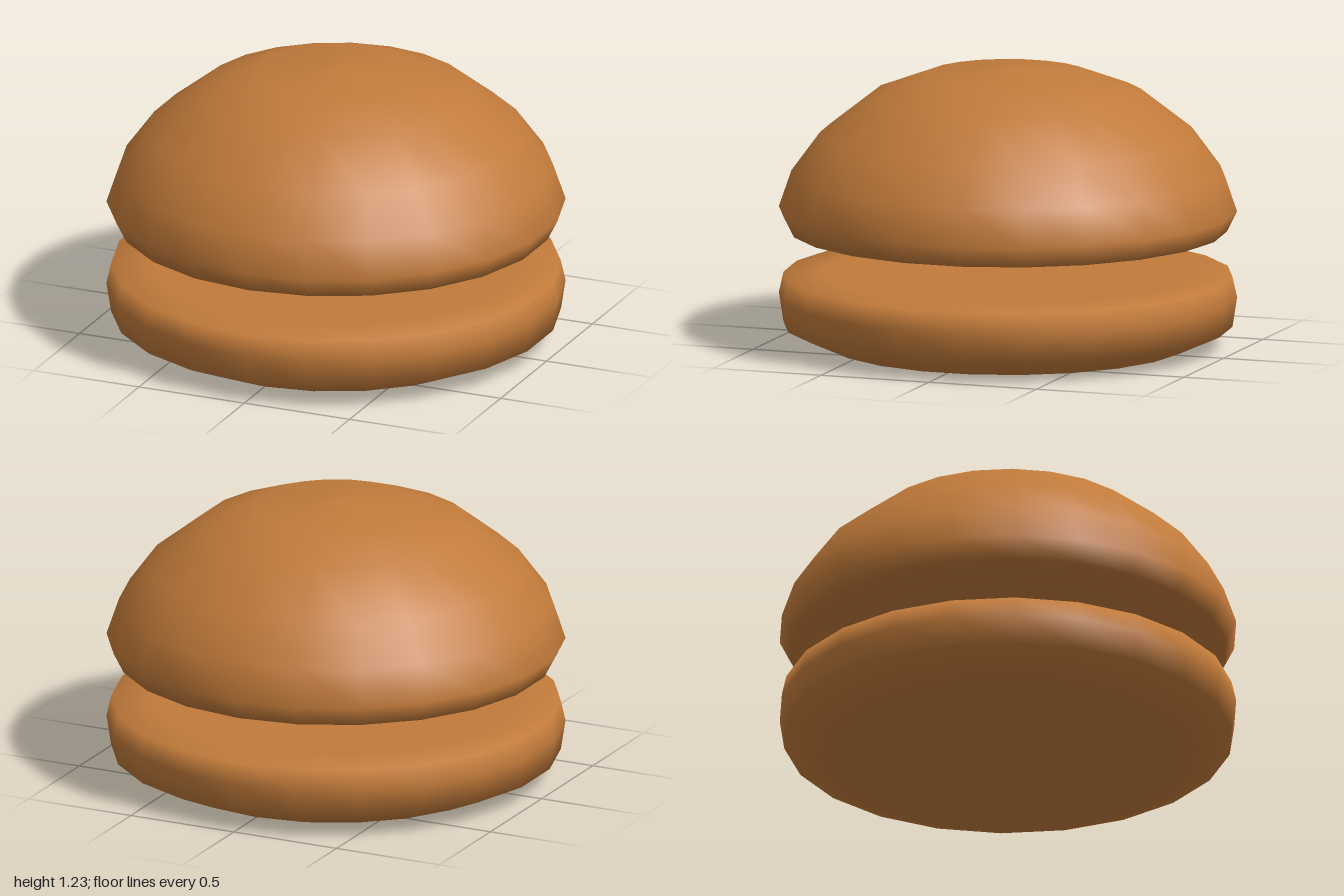
import * as THREE from 'three';

const SIDES = 22;

// Profiles run from the bottom centre outwards and up to the top centre: [radius, height]
const BOTTOM_BUN = [
  [0, 0], [0.79, 0.005], [0.98, 0.09], [1, 0.22], [0.98, 0.31], [0.8, 0.32], [0, 0.32],
];
const TOP_BUN = [
  [0, 0.5], [0.77, 0.502], [0.955, 0.51], [1, 0.6], [0.945, 0.76],
  [0.82, 0.93], [0.59, 1.11], [0.35, 1.2], [0, 1.23],
];

function makeBun(name, profile, material) {
  const points = profile.map(([r, y]) => new THREE.Vector2(r, y));
  const mesh = new THREE.Mesh(new THREE.LatheGeometry(points, SIDES), material);
  mesh.name = name;
  return mesh;
}

export function createModel() {
  const crust = new THREE.MeshStandardMaterial({ color: 0xc17a3a });
  crust.name = 'toasted crust';

  const group = new THREE.Group();
  group.name = 'bun';
  group.add(
    makeBun('bottomBun', BOTTOM_BUN, crust),
    makeBun('topBun', TOP_BUN, crust),
  );
  return group;
}
